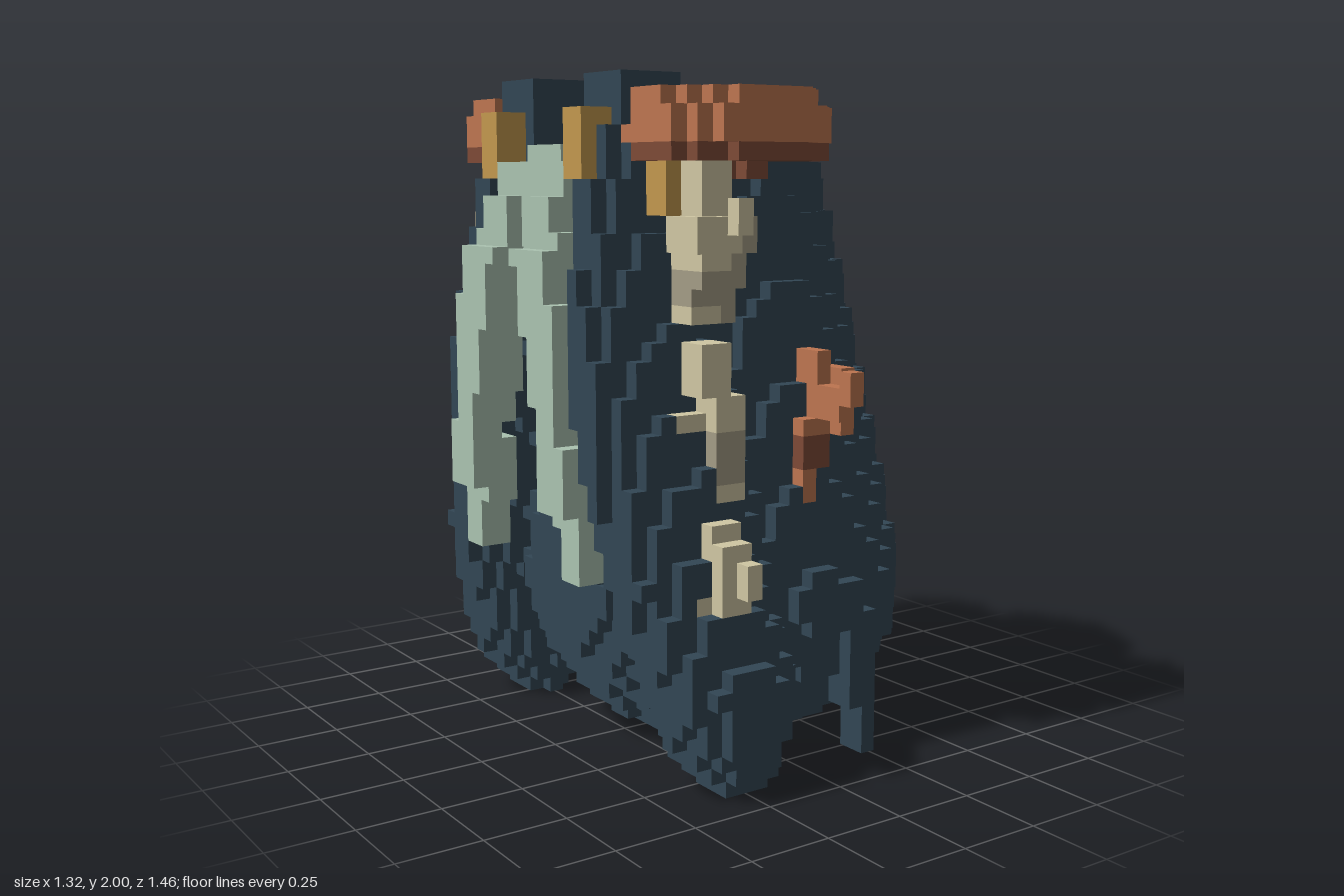
import * as THREE from 'three';

// Voxel grid: 27 x 41 x 30 cells, centred on x and z
const V = 2 / 41, NX = 27, NY = 41, NZ = 30;
const px = i => (i - 13) * V, py = j => (j + 0.5) * V, pz = k => (k - 14.5) * V;

// Interpolates rows of [y, ...values] at height y; null outside
function sample(rows, y) {
  const n = rows.findIndex((row, m) => m > 0 && y <= row[0]);
  if (n < 0 || y < rows[0][0]) return null;
  const a = rows[n - 1], b = rows[n], t = (y - a[0]) / (b[0] - a[0]);
  return a.map((v, m) => v + (b[m] - v) * t);
}

// Solid tests take x, y, |z| (mirrored parts) and the side, 1 for +z or -1 for -z
const box = (x0, x1, y0, y1, z0, z1) => (x, y, z) =>
  x > x0 && x < x1 && y > y0 && y < y1 && z > z0 && z < z1;
// Rows: y, centre x, centre z, half width
const strand = rows => (x, y, z) => {
  const r = sample(rows, y);
  return r !== null && Math.abs(x - r[1]) < r[3] && Math.abs(z - r[2]) < r[3];
};
const any = (...tests) => (...p) => tests.some(test => test(...p));
const all = (...tests) => (...p) => tests.every(test => test(...p));

// Rounded back: bowl below, straight taper, domed top
function body(x, y, z) {
  if (y > 1.95) return false;
  const r = y < 0.5
    ? 0.575 * Math.sqrt(1 - (0.92 * (1 - y / 0.5)) ** 2)
    : Math.min(0.575 - 0.173 * (y - 0.5), 0.7 * Math.sqrt(2 - y));
  return Math.hypot(x - 0.115 + 0.058 * y, z) <= r;
}

// Side columns lean inward: y, centre x, centre z, radius x, radius z
const COLUMN = [
  [0, -0.24, 0.55, 0.08, 0.08],
  [0.15, -0.27, 0.56, 0.17, 0.16],
  [0.3, -0.28, 0.56, 0.2, 0.185],
  [0.6, -0.34, 0.48, 0.23, 0.16],
  [1.2, -0.37, 0.345, 0.255, 0.14],
  [1.6, -0.37, 0.29, 0.2, 0.12],
  [2, -0.37, 0.245, 0.1, 0.1],
];
function column(x, y, z) {
  const [, cx, cz, rx, rz] = sample(COLUMN, y);
  return Math.hypot((x - cx) / rx, (z - cz) / rz) <= 1;
}

// Flat oval caps with a rounded rim; the +z cap has a notch on its inner edge
const notch = box(-0.22, -0.08, 1.7, 2, 0.2, 0.39);
function cap(x, y, z, side) {
  if (y < 1.7 || y > 1.95 || (side > 0 && notch(x, y, z))) return false;
  const f = y < 1.76 ? 0.4 : 1 - 13 * (y - 1.84) ** 2;
  return Math.hypot((x + 0.2) / 0.28, (z - 0.475) / 0.225) <= f;
}
const below = top => (x, y) => y < top;

const trim = strand([[0.58, -0.56, 0.28, 0.05], [0.95, -0.6, 0.26, 0.06], [1.4, -0.59, 0.18, 0.085], [1.76, -0.46, 0.08, 0.09]]);
const capStem = any(
  strand([[1.31, -0.29, 0.45, 0.07], [1.5, -0.29, 0.52, 0.07], [1.76, -0.317, 0.54, 0.05]]),
  box(-0.42, -0.22, 1.51, 1.6, 0.5, 0.64),
  box(-0.32, -0.27, 1.55, 1.66, 0.62, 0.69));
const middleGrowth = any(
  strand([[0.84, -0.26, 0.55, 0.05], [1, -0.27, 0.52, 0.05], [1.27, -0.317, 0.54, 0.05]]),
  box(-0.42, -0.22, 1, 1.07, 0.42, 0.54));
const lowerGrowth = any(
  strand([[0.53, -0.317, 0.65, 0.05], [0.7, -0.317, 0.65, 0.04], [0.8, -0.295, 0.58, 0.04]]),
  box(-0.32, -0.27, 0.58, 0.68, 0.6, 0.74),
  box(-0.42, -0.36, 0.53, 0.59, 0.58, 0.64));
const branch = any(
  box(0.02, 0.075, 0.78, 1.03, 0.44, 0.54),
  box(0.07, 0.125, 0.88, 1.22, 0.44, 0.55),
  box(0.07, 0.125, 1.02, 1.13, 0.5, 0.64),
  box(0.07, 0.125, 1.07, 1.17, 0.63, 0.69),
  box(0.12, 0.175, 0.98, 1.17, 0.44, 0.59));

// Later parts replace earlier ones
const PARTS = [
  { name: 'body', colour: 'slate', test: body },
  { name: 'sideColumns', colour: 'slate', test: column },
  { name: 'columnTops', colour: 'slate', test: box(-0.46, -0.27, 1.8, 2, 0.15, 0.34) },
  { name: 'hangingTails', colour: 'slate', test: any(box(0.17, 0.27, 0.15, 0.45, 0.48, 0.59), box(0.21, 0.27, 0, 0.2, 0.48, 0.59)) },
  { name: 'trim', colour: 'mint', test: trim },
  { name: 'collar', colour: 'mint', test: any(box(-0.51, -0.36, 1.65, 1.8, 0, 0.1), box(-0.56, -0.42, 1.53, 1.7, 0, 0.2)) },
  { name: 'goldEdges', colour: 'gold', test: any(box(-0.56, -0.46, 1.7, 1.9, 0.2, 0.3), box(-0.42, -0.36, 1.61, 1.8, 0.37, 0.49)) },
  { name: 'capStems', colour: 'cream', test: capStem },
  { name: 'capStemShades', colour: 'darkCream', test: all(capStem, any(box(-0.27, -0.22, 1.3, 1.6, 0, 1), box(-0.37, -0.27, 1.36, 1.47, 0, 1))) },
  { name: 'notchLining', colour: 'cream', test: (x, y, z, side) => side > 0 && box(-0.18, -0.03, 1.8, 1.9, 0.24, 0.3)(x, y, z) },
  { name: 'middleGrowths', colour: 'cream', test: middleGrowth },
  { name: 'middleGrowthShades', colour: 'darkCream', test: all(middleGrowth, box(-0.32, -0.22, 0.88, 1.03, 0, 1)) },
  { name: 'lowerGrowths', colour: 'cream', test: lowerGrowth },
  { name: 'sideBranches', colour: 'terracotta', test: branch },
  { name: 'sideBranchShades', colour: 'darkTerracotta', test: all(branch, box(0.02, 0.125, 0.87, 0.98, 0, 1)) },
  { name: 'caps', colour: 'terracotta', test: cap },
  { name: 'capUndersides', colour: 'darkTerracotta', test: all(cap, below(1.8)) },
];

const COLOURS = {
  slate: 0x324654, terracotta: 0xbd7550, darkTerracotta: 0x7d4a36,
  cream: 0xd0c7a3, darkCream: 0xa49c86, mint: 0xabc3b1, gold: 0xc2984e,
};

// Cube faces: outward normal n and two in-plane axes with u x v = n
const FACES = [];
for (let a = 0; a < 3; a++) {
  for (const s of [1, -1]) {
    const axis = (m, size) => [0, 1, 2].map(q => (q === m % 3 ? size : 0));
    FACES.push({ n: axis(a, s), u: axis(a + 1, s), v: axis(a + 2, 1) });
  }
}
const CORNERS = [[-1, -1], [1, -1], [1, 1], [-1, -1], [1, 1], [-1, 1]];

function eachCell(fn) {
  for (let i = 0; i < NX; i++) {
    for (let j = 0; j < NY; j++) {
      for (let k = 0; k < NZ; k++) fn(i, j, k);
    }
  }
}

export function createModel() {
  const model = new THREE.Group();
  model.name = 'model';
  const materials = {};
  for (const name in COLOURS) {
    materials[name] = new THREE.MeshStandardMaterial({ color: COLOURS[name] });
    materials[name].name = name;
  }

  // Fill the grid with part numbers
  const cells = new Map();
  const key = (i, j, k) => `${i},${j},${k}`;
  eachCell((i, j, k) => PARTS.forEach((part, p) => {
    if (part.test(px(i), py(j), Math.abs(pz(k)), Math.sign(pz(k)))) cells.set(key(i, j, k), p);
  }));

  // Collect the exposed faces of each part
  const data = PARTS.map(() => ({ position: [], normal: [] }));
  eachCell((i, j, k) => {
    if (!cells.has(key(i, j, k))) return;
    const { position, normal } = data[cells.get(key(i, j, k))];
    const centre = [px(i), py(j), pz(k)];
    for (const { n, u, v } of FACES) {
      if (cells.has(key(i + n[0], j + n[1], k + n[2]))) continue;
      for (const [a, b] of CORNERS) {
        position.push(...centre.map((c, m) => c + (n[m] + a * u[m] + b * v[m]) * V / 2));
        normal.push(...n);
      }
    }
  });

  PARTS.forEach(({ name, colour }, p) => {
    const geometry = new THREE.BufferGeometry();
    for (const attribute of ['position', 'normal']) {
      geometry.setAttribute(attribute, new THREE.Float32BufferAttribute(data[p][attribute], 3));
    }
    const mesh = new THREE.Mesh(geometry, materials[colour]);
    mesh.name = name;
    model.add(mesh);
  });
  return model;
}
